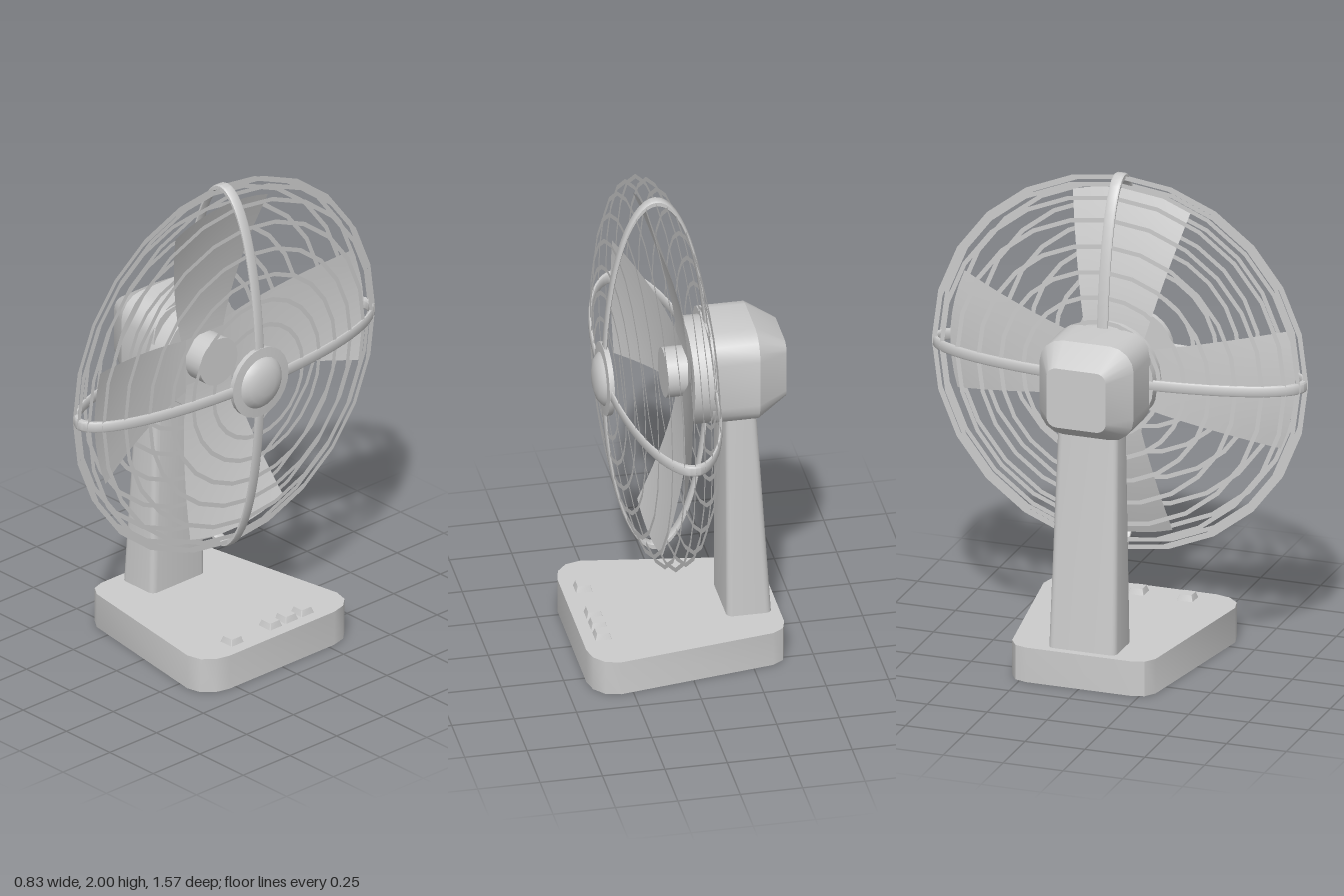
import * as THREE from 'three';
import { toCreasedNormals } from 'three/addons/utils/BufferGeometryUtils.js';

const grey = new THREE.MeshStandardMaterial({ color: 0xcccccc });
const thin = new THREE.MeshStandardMaterial({ color: 0xcccccc, side: THREE.DoubleSide });
const AXIS_Y = 1.205; // height of the fan axle

// Rounded-rectangle outline, counter-clockwise
function roundedRect(hu, hv, r, steps = 4) {
  const pts = [];
  for (let c = 0; c < 4; c++) {
    const su = c === 0 || c === 3 ? 1 : -1;
    const sv = c < 2 ? 1 : -1;
    for (let i = 0; i <= steps; i++) {
      const a = (c + i / steps) * Math.PI / 2;
      pts.push([su * (hu - r) + r * Math.cos(a), sv * (hv - r) + r * Math.sin(a)]);
    }
  }
  return pts;
}

// Closed loft through rounded rectangles; place(u, v, t) maps a section point to space
function loft(sections, place, crease = 0.5) {
  const pos = [], idx = [];
  const loops = sections.map(s => roundedRect(s.hu, s.hv, s.r).map(([u, v]) =>
    place(u + (s.cu || 0), v + (s.cv || 0), s.t)));
  const n = loops[0].length;
  loops.forEach(l => l.forEach(p => pos.push(...p)));
  for (let i = 0; i < loops.length - 1; i++) {
    for (let j = 0; j < n; j++) {
      const a = i * n + j, b = i * n + (j + 1) % n;
      idx.push(a, b, b + n, a, b + n, a + n);
    }
  }
  const last = (loops.length - 1) * n;
  for (let j = 1; j < n - 1; j++) {
    idx.push(0, j + 1, j, last, last + j, last + j + 1);
  }
  const g = new THREE.BufferGeometry();
  g.setAttribute('position', new THREE.Float32BufferAttribute(pos, 3));
  g.setIndex(idx);
  return toCreasedNormals(g, crease);
}

const alongX = (u, v, t) => [t, u, v];
const alongY = (u, v, t) => [v, t, u];

// Dished blade: widens outwards and curves forward with distance from the axle
function bladeGeometry() {
  const g = new THREE.PlaneGeometry(1, 1, 8, 12);
  const p = g.attributes.position;
  for (let i = 0; i < p.count; i++) {
    const s = p.getX(i) + 0.5, k = p.getY(i) + 0.5;
    const r = 0.1 + 0.62 * k;
    const w = THREE.MathUtils.lerp(-(0.08 + 0.178 * r), 0.1 + 0.26 * r, s);
    const y = Math.sqrt(Math.max(r * r - w * w * k, 0.001));
    p.setXYZ(i, -0.03 + 0.14 * Math.pow(k, 1.6), y, w);
  }
  g.computeVertexNormals();
  return g;
}

export function createModel() {
  const model = new THREE.Group();
  const add = (parent, name, geometry, material = grey) => {
    const mesh = new THREE.Mesh(geometry, material);
    mesh.name = name;
    parent.add(mesh);
    return mesh;
  };

  // Base plate, wider towards the buttons
  const half = [[-0.39, 0.22], [-0.375, 0.27], [-0.33, 0.3], [0.3, 0.4], [0.36, 0.385], [0.4, 0.34], [0.415, 0.28]];
  const outline = [...half, ...half.map(([x, z]) => [x, -z]).reverse()];
  const baseGeo = new THREE.ExtrudeGeometry(
    new THREE.Shape(outline.map(([x, z]) => new THREE.Vector2(x, z))), { depth: 0.145, bevelEnabled: false });
  baseGeo.rotateX(-Math.PI / 2);
  add(model, 'base', toCreasedNormals(baseGeo, 0.6));

  // Buttons
  for (const z of [-0.185, -0.1, -0.015, 0.19]) {
    add(model, 'button', loft([
      { t: 0.14, hu: 0.034, hv: 0.034, r: 0.002, cu: z, cv: 0.332 },
      { t: 0.17, hu: 0.025, hv: 0.025, r: 0.002, cu: z, cv: 0.332 },
    ], alongY));
  }

  // Tapered stand
  add(model, 'stand', loft([
    { t: 0.14, hu: 0.142, hv: 0.09, r: 0.025, cv: -0.268 },
    { t: 1.06, hu: 0.125, hv: 0.063, r: 0.025, cv: -0.238 },
  ], alongY));

  // Motor housing with a drum in front
  add(model, 'motorHousing', loft([
    { t: -0.42, hu: 0.124, hv: 0.124, r: 0.04, cu: 1.222 },
    { t: -0.3, hu: 0.197, hv: 0.197, r: 0.1, cu: 1.222 },
    { t: -0.11, hu: 0.197, hv: 0.197, r: 0.1, cu: 1.222 },
  ], alongX, 0.45));

  const fan = new THREE.Group();
  fan.name = 'fan';
  fan.position.y = AXIS_Y;
  model.add(fan);
  const disc = (r, x0, x1) =>
    new THREE.CylinderGeometry(r, r, x1 - x0, 24).rotateZ(-Math.PI / 2).translate((x0 + x1) / 2, 0, 0);
  add(fan, 'motorDrum', disc(0.215, -0.125, -0.035));
  add(fan, 'bladeHub', disc(0.1, -0.05, 0.05));

  // Four blades
  const blade = bladeGeometry();
  for (let i = 0; i < 4; i++) {
    add(fan, 'blade', blade, thin).rotation.x = i * Math.PI / 2;
  }

  // Guard: flat wire rings lying on an ellipsoid
  const guard = new THREE.Group();
  guard.name = 'guard';
  guard.position.x = 0.08;
  fan.add(guard);
  const DEPTH = 0.207, RADIUS = 0.78;
  for (const r of [0.78, 0.764, 0.72, 0.64, 0.54, 0.44, 0.34, 0.24]) {
    const x = DEPTH * Math.sqrt(1 - (r / RADIUS) ** 2);
    for (const side of r === RADIUS ? [1] : [-1, 1]) {
      const ring = new THREE.RingGeometry(r - 0.012, r + 0.006, 24).rotateY(Math.PI / 2);
      add(guard, 'guardRing', ring, thin).position.x = side * x;
    }
  }

  // Guard: two crossing elliptical bands
  const band = new THREE.Shape().absellipse(0, 0, 0.214, 0.793, 0, Math.PI * 2);
  band.holes.push(new THREE.Path().absellipse(0, 0, 0.2, 0.768, 0, Math.PI * 2));
  const bandGeo = toCreasedNormals(new THREE.ExtrudeGeometry(band, {
    depth: 0.03, bevelEnabled: true, bevelSize: 0.004, bevelOffset: -0.004,
    bevelThickness: 0.007, bevelSegments: 1, curveSegments: 32,
  }).translate(0, 0, -0.015), 0.6);
  add(guard, 'verticalBand', bandGeo);
  const horizontal = add(guard, 'horizontalBand', bandGeo);
  horizontal.rotation.x = Math.PI / 2;
  horizontal.scale.y = 0.984;

  // Domed cap at the centre of the guard
  const cap = [[0, 0.272], [0.146, 0.272], [0.148, 0.293], [0.108, 0.296], [0.1, 0.305], [0.08, 0.32], [0.045, 0.329], [0, 0.332]];
  add(fan, 'guardCap', toCreasedNormals(
    new THREE.LatheGeometry(cap.map(([r, y]) => new THREE.Vector2(r, y)), 24).rotateZ(-Math.PI / 2), 0.6));

  return model;
}
